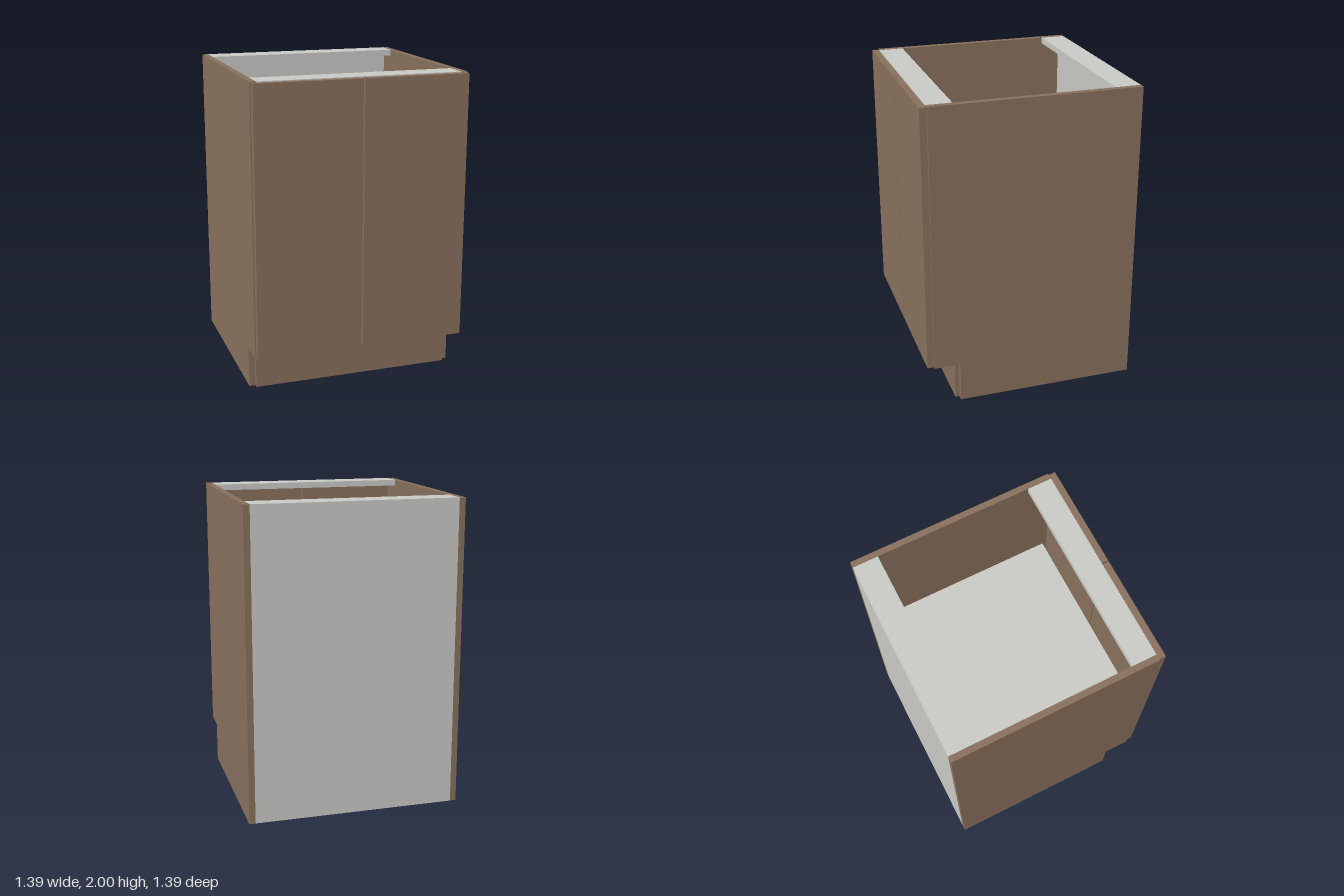
import * as THREE from 'three';

export function createModel() {
  const wood = new THREE.MeshStandardMaterial({ name: 'brown wood', color: 0x87705c });
  const grey = new THREE.MeshStandardMaterial({ name: 'grey board', color: 0xc8c8c5 });
  const group = new THREE.Group();
  group.name = 'baseCabinet';

  // Board given by its min and max corners
  const board = (name, material, [x0, y0, z0], [x1, y1, z1]) => {
    const mesh = new THREE.Mesh(new THREE.BoxGeometry(x1 - x0, y1 - y0, z1 - z0), material);
    mesh.position.set((x0 + x1) / 2, (y0 + y1) / 2, (z0 + z1) / 2);
    mesh.name = name;
    group.add(mesh);
  };

  const W = 0.695, IN = 0.655, BACK = -0.695, FRONT = 0.65, BASE = 0.265, T = 0.04;

  // Side panels, lower side plinths and doors, mirrored
  for (const [side, s] of [['left', 1], ['right', -1]]) {
    const pair = (name, a, b, y0, y1, z0, z1) =>
      board(side + name, wood, [Math.min(s * a, s * b), y0, z0], [Math.max(s * a, s * b), y1, z1]);
    pair('SidePanel', IN, W, BASE, 2, BACK, FRONT);
    pair('SidePlinth', IN, W, 0, BASE, BACK, 0.48);
    pair('Door', 0.004, 0.687, 0.272, 1.995, FRONT + 0.002, 0.695);
  }

  // Recessed toe kick
  board('toeKick', wood, [-IN, 0, 0.468], [IN, BASE - 0.001, 0.508]);

  // Carcass: back, bottom and loose shelf
  board('backPanel', grey, [-IN, 0, BACK], [IN, 2 - T, BACK + T]);
  board('bottomPanel', grey, [-IN, BASE, BACK + T], [IN, BASE + T, FRONT]);
  board('shelf', grey, [-0.65, 1.12, BACK + T], [0.65, 1.16, 0.62]);

  // Top rails
  board('backRail', grey, [-IN, 2 - T, BACK], [IN, 2, -0.53]);
  board('frontRail', grey, [-IN, 2 - T, 0.49], [IN, 2, FRONT]);

  return group;
}
